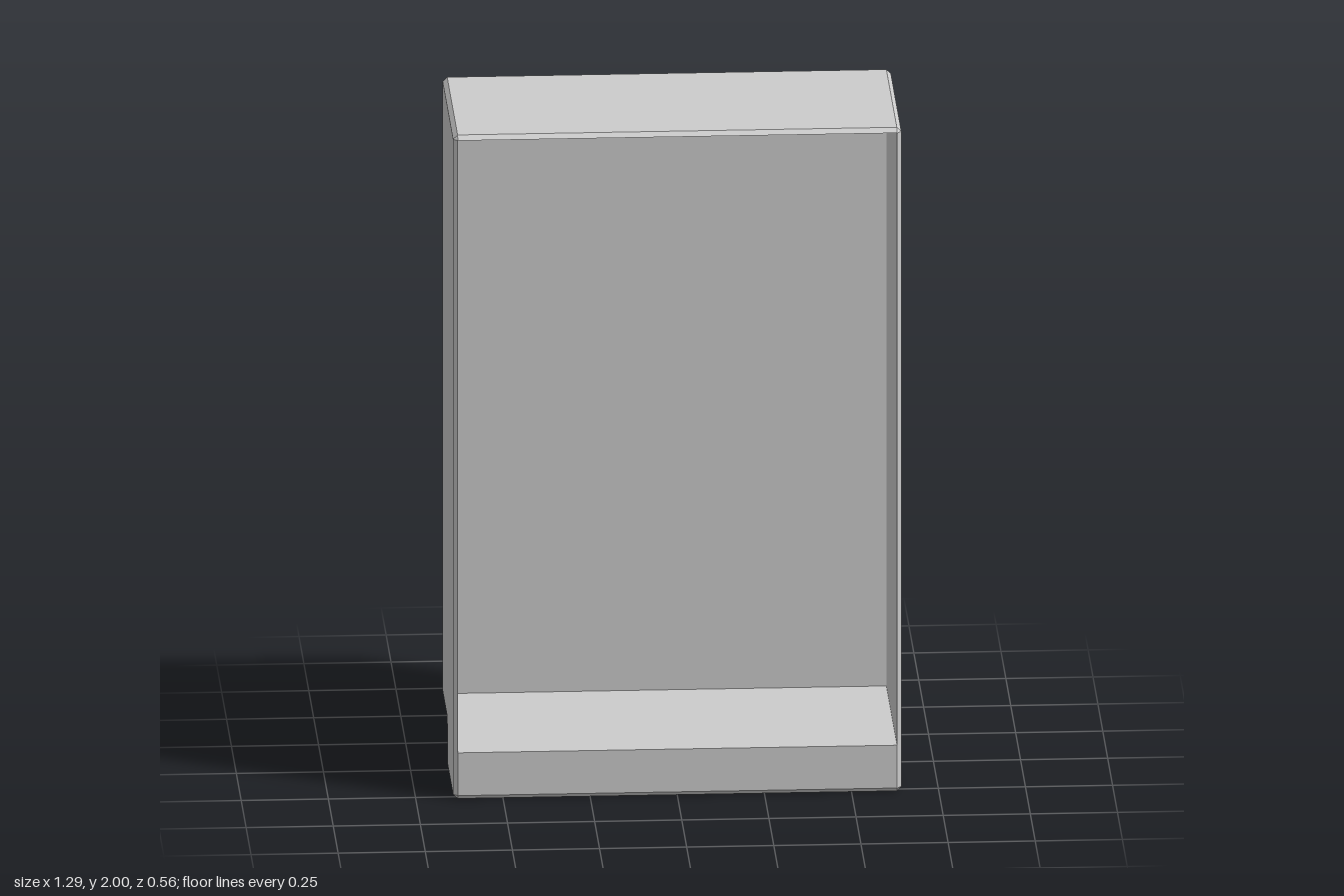
import * as THREE from 'three';

const X = 0.643, T = 2, F = 0.28, C = 0.013; // half width, height, half depth, chamfer
const FLOOR = 0.142, NOTCH = 0.138, STEP = -0.04;

// Side profile as (z, y) pairs, from the front top edge round the back to the front lip.
const outer = [
  [F, T - C], [F - C, T], [-F + C, T], [-F, T - C],
  [-F, NOTCH + C], [-F + C, NOTCH], [STEP - 0.02, NOTCH], [STEP, NOTCH - 0.02],
  [STEP, C], [STEP + C, 0], [F - C, 0], [F, C], [F, FLOOR],
];
// The same profile inset by the chamfer, where it meets the flat sides.
const inset = [
  [F - C, T - C], [F - C, T - C], [-F + C, T - C], [-F + C, T - C],
  [-F + C, NOTCH + C], [-F + C, NOTCH + C], [STEP - 0.015, NOTCH + C], [STEP + C, NOTCH - 0.015],
  [STEP + C, C], [STEP + C, C], [F - C, C], [F - C, C], [F - C, FLOOR],
];

function shellGeometry() {
  const pos = [];
  const tri = (...pts) => pts.forEach((p) => pos.push(...p));
  const at = (x, [z, y]) => [x, y, z];
  const rings = [[-X, inset], [-X + C, outer], [X - C, outer], [X, inset]];
  const n = outer.length;

  // Bands across the width; the middle band leaves the front open.
  for (let r = 0; r < 3; r++) {
    const [xa, a] = rings[r], [xb, b] = rings[r + 1];
    for (let i = 0; i < (r === 1 ? n - 1 : n); i++) {
      const j = (i + 1) % n;
      const A = at(xa, a[i]), B = at(xb, b[i]), D = at(xa, a[j]), E = at(xb, b[j]);
      // Coinciding inset corners make a single triangle
      if (a[i] !== a[j] && String(a[i]) !== String(a[j])) tri(A, E, D);
      if (String(b[i]) !== String(b[j])) tri(A, B, E);
    }
  }

  // Flat sides
  const cap = inset
    .filter((p, i) => i === 0 || String(p) !== String(inset[i - 1]))
    .map(([z, y]) => new THREE.Vector2(z, y));
  for (const [a, b, c] of THREE.ShapeUtils.triangulateShape(cap, [])) {
    const p = (x, i) => [x, cap[i].y, cap[i].x];
    tri(p(-X, a), p(-X, b), p(-X, c));
    tri(p(X, a), p(X, c), p(X, b));
  }

  const g = new THREE.BufferGeometry();
  g.setAttribute('position', new THREE.Float32BufferAttribute(pos, 3));
  g.computeVertexNormals();
  return g;
}

// Open-fronted box whose faces look inwards
function liningGeometry() {
  const h = T - C - FLOOR, d = 2 * F - C;
  const g = new THREE.BoxGeometry(2 * (X - C), h, d);
  const faces = Array.from(g.index.array);
  faces.splice(24, 6); // front face
  g.setIndex(faces.reverse());
  g.clearGroups();
  g.translate(0, FLOOR + h / 2, C / 2);
  const flat = g.toNonIndexed();
  flat.computeVertexNormals();
  return flat;
}

export function createModel() {
  const group = new THREE.Group();
  group.name = 'openCabinet';
  const material = new THREE.MeshStandardMaterial({ color: 0xcccccc, flatShading: true });
  const add = (name, geometry) => {
    const mesh = new THREE.Mesh(geometry, material);
    mesh.name = name;
    group.add(mesh);
  };
  add('outerShell', shellGeometry());
  add('innerLining', liningGeometry());
  return group;
}
